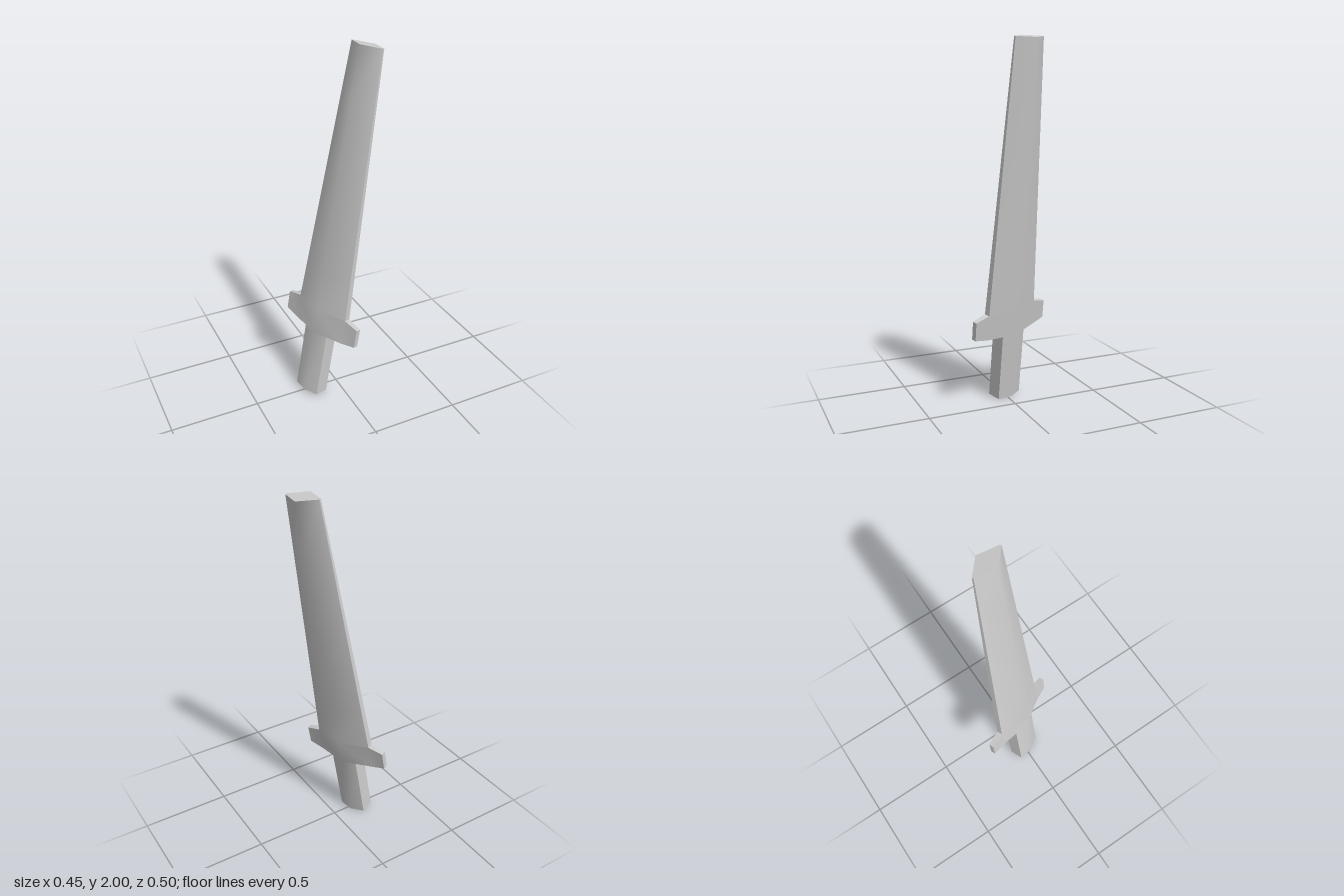
import * as THREE from 'three';
import { toCreasedNormals } from 'three/addons/utils/BufferGeometryUtils.js';

const RIDGE = 0.06; // half thickness along the centre line

// Skin a list of rings (counterclockwise seen from the far end), with optional caps
function loft(name, rings, capStart, capEnd) {
  const n = rings[0].length;
  const pos = rings.flat(2);
  const index = [];
  for (let r = 0; r < rings.length - 1; r++) {
    for (let i = 0; i < n; i++) {
      const a = r * n + i, b = r * n + (i + 1) % n;
      index.push(a, b, b + n, a, b + n, a + n);
    }
  }
  const last = (rings.length - 1) * n;
  for (let i = 1; i < n - 1; i++) {
    if (capStart) index.push(0, i + 1, i);
    if (capEnd) index.push(last, last + i, last + i + 1);
  }
  const geo = new THREE.BufferGeometry();
  geo.setAttribute('position', new THREE.Float32BufferAttribute(pos, 3));
  geo.setIndex(index);
  const mesh = new THREE.Mesh(
    toCreasedNormals(geo.toNonIndexed(), 1.03),
    new THREE.MeshStandardMaterial({ color: 0xcccccc })
  );
  mesh.name = name;
  return mesh;
}

// Ridged six-sided section at height y: half width w, half edge thickness e
const hexRing = (y, w, e) => [
  [RIDGE, y, 0], [e, y, -w], [-e, y, -w], [-RIDGE, y, 0], [-e, y, w], [e, y, w],
];

// Rectangular guard section at z: half thickness u, from lo to hi
const guardRing = (z, u, lo, hi) => [[u, lo, z], [u, hi, z], [-u, hi, z], [-u, lo, z]];

export function createModel() {
  const model = new THREE.Group();
  model.name = 'sword';

  // Stubby hexagonal grip
  model.add(loft('handle', [hexRing(0, 0.081, 0.04), hexRing(0.39, 0.081, 0.04)], true, false));

  // Cross guard, thick in the middle with thin wings
  model.add(loft('guard', [
    guardRing(-0.262, 0.014, 0.41, 0.515),
    guardRing(-0.174, 0.017, 0.39, 0.535),
    guardRing(0, RIDGE, 0.39, 0.535),
    guardRing(0.174, 0.017, 0.39, 0.535),
    guardRing(0.262, 0.014, 0.41, 0.515),
  ], true, true));

  // Tapered blade with a blunt end
  const blade = [];
  for (let i = 0; i <= 6; i++) {
    const t = i / 6;
    blade.push(hexRing(
      THREE.MathUtils.lerp(0.535, 2.006, t),
      THREE.MathUtils.lerp(0.174, 0.101, t),
      THREE.MathUtils.lerp(0.017, 0.005, t)
    ));
  }
  model.add(loft('blade', blade, false, true));

  // Turn about its own axis, then lean toward +x
  const lean = new THREE.Group();
  lean.name = 'leaningSword';
  model.rotation.set(0, 0.37, -0.167, 'ZYX');
  model.position.set(-0.16, 0.012, 0);
  lean.add(model);
  return lean;
}
